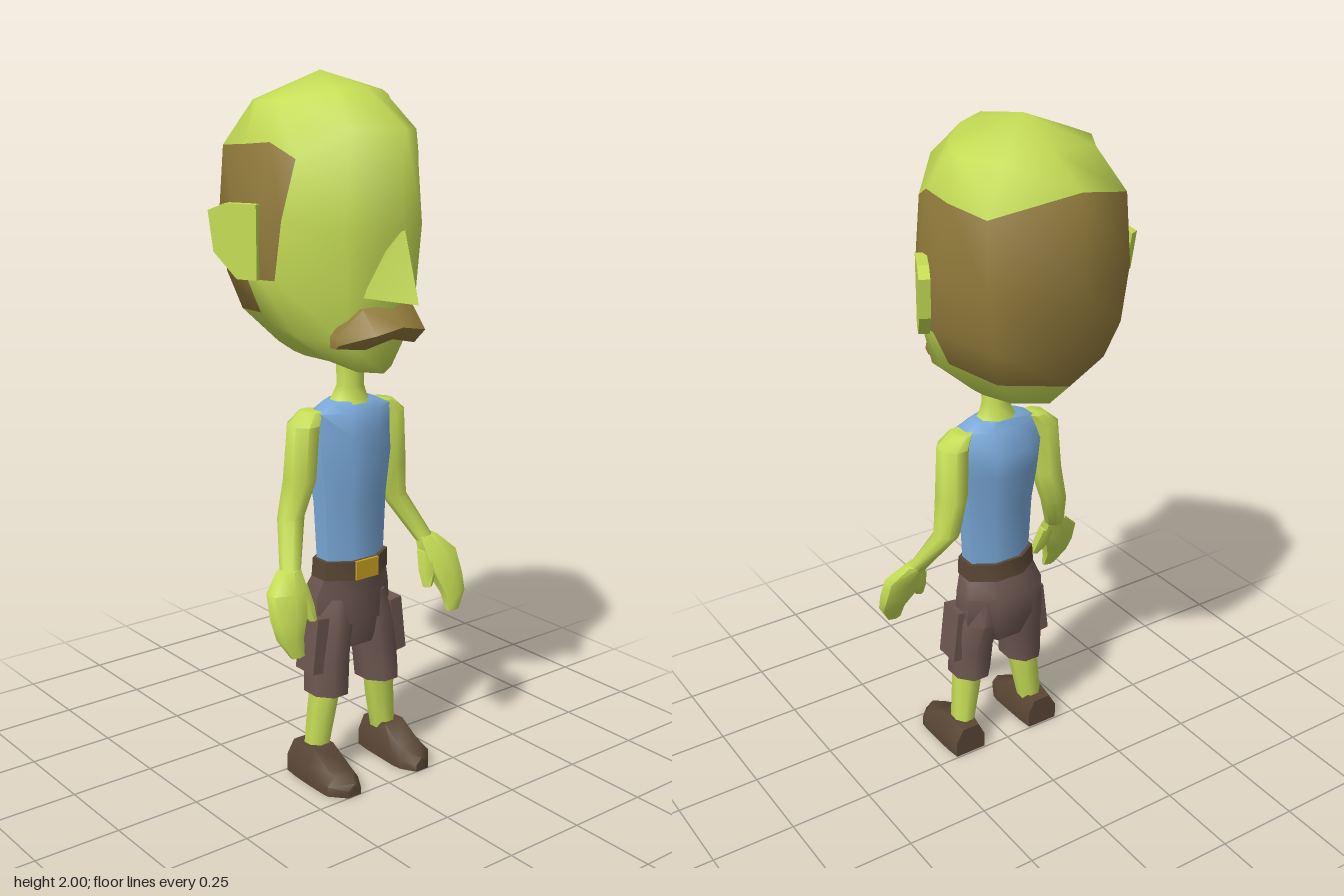
import * as THREE from 'three';
import { mergeVertices, toCreasedNormals } from 'three/addons/utils/BufferGeometryUtils.js';

const material = (name, color) => {
  const m = new THREE.MeshStandardMaterial({ color });
  m.name = name;
  return m;
};

// Skin over a stack of equal-length rings, closed at both ends; paint(row, col) picks a material slot
function loft(rings, { crease = 0.95, caps, paint = () => 0 } = {}) {
  const n = rings[0].length, last = rings.length - 1;
  const mean = r => [0, 1, 2].map(k => r.reduce((s, p) => s + p[k], 0) / n);
  const [first, end] = caps || [mean(rings[0]), mean(rings[last])];
  const pts = [...rings.flat(), first, end];
  const faces = [[], []];
  for (let j = 0; j < n; j++) {
    const k = (j + 1) % n;
    for (let i = 0; i < last; i++) {
      const a = i * n + j, b = a + n, c = i * n + k, d = c + n;
      faces[paint(i, j)].push([a, b, d], [a, d, c]);
    }
    faces[0].push([pts.length - 2, j, k], [pts.length - 1, last * n + k, last * n + j]);
  }
  // Turn the faces outward if the enclosed volume is negative
  const v = pts.map(p => new THREE.Vector3(...p));
  const volume = faces.flat().reduce((s, [a, b, c]) => s + v[a].dot(v[b].clone().cross(v[c])), 0);
  const index = faces.map(list => list.flatMap(([a, b, c]) => (volume < 0 ? [a, c, b] : [a, b, c])));
  const geo = new THREE.BufferGeometry();
  geo.setAttribute('position', new THREE.Float32BufferAttribute(pts.flat(), 3));
  geo.setIndex(index.flat());
  if (index[1].length) {
    geo.addGroup(0, index[0].length, 0);
    geo.addGroup(index[0].length, index[1].length, 1);
  }
  return toCreasedNormals(geo, crease);
}

// Body part from level oval sections [x, y, z, radiusX, radiusZ]
function limb(stations, sides = 8, options) {
  return loft(stations.map(([x, y, z, rx, rz]) => Array.from({ length: sides }, (_, j) => {
    const a = ((j + 0.5) / sides) * Math.PI * 2, k = 1 / Math.cos(Math.PI / sides);
    return [x + Math.cos(a) * rx * k, y, z + Math.sin(a) * rz * k];
  })), options);
}

function mirrored(geo) {
  const g = mergeVertices(geo);
  g.scale(-1, 1, 1);
  const ix = g.index.array;
  for (let i = 0; i < ix.length; i += 3) [ix[i + 1], ix[i + 2]] = [ix[i + 2], ix[i + 1]];
  return g;
}

export function createModel() {
  const model = new THREE.Group();
  model.name = 'cartoonMan';
  const skin = material('skin', 0xc5dc55);
  const hair = material('hair', 0x917a3b);
  const shirt = material('shirt', 0x7aa9d9);
  const trousers = material('trousers', 0x6c5650);
  const leather = material('leather', 0x5a4735);
  const brass = material('brass', 0xc8a022);

  const add = (name, geo, mat) => {
    const mesh = new THREE.Mesh(geo, mat);
    mesh.name = name;
    model.add(mesh);
  };
  const addPair = (name, geo, mat) => {
    add('left' + name, geo, mat);
    add('right' + name, mirrored(geo), mat);
  };

  // Head: half rings from front centre to back centre, top to bottom
  const crown = [[0, 1.96, .13], [.08, 1.95, .1], [.15, 1.935, .04], [.185, 1.925, -.02],
    [.2, 1.92, -.09], [.14, 1.92, -.19], [0, 1.935, -.19]];
  const hairline = [[0, 1.86, .29], [.11, 1.85, .205], [.21, 1.78, .1], [.235, 1.82, .02],
    [.237, 1.81, -.09], [.213, 1.8, -.23], [0, 1.86, -.33]];
  const brow = [[0, 1.6, .29], [.13, 1.6, .21], [.24, 1.62, .075], [.265, 1.62, .01],
    [.27, 1.62, -.09], [.22, 1.61, -.245], [0, 1.61, -.35]];
  const cheek = [[0, 1.4, .25], [.12, 1.42, .2], [.245, 1.46, .05], [.265, 1.46, 0],
    [.265, 1.46, -.05], [.2, 1.45, -.24], [0, 1.45, -.32]];
  const jaw = [[0, 1.29, .235], [.1, 1.29, .18], [.195, 1.31, .08], [.215, 1.33, 0],
    [.22, 1.36, -.05], [.17, 1.345, -.21], [0, 1.33, -.29]];
  const chin = [[0, 1.205, .21], [.06, 1.21, .17], [.1, 1.235, .08], [.11, 1.235, 0],
    [.11, 1.24, -.05], [.09, 1.25, -.15], [0, 1.245, -.2]];
  const headRings = [crown, hairline, brow, cheek, jaw, chin].map(half =>
    [...half, ...half.slice(1, 6).reverse().map(([x, y, z]) => [-x, y, z])]);
  const isHair = (row, col) => {
    const k = col < 6 ? col : 11 - col;
    return ((row === 1 || row === 2) && k >= 2) || (row === 3 && k >= 4) ? 1 : 0;
  };
  add('head', loft(headRings, { crease: Math.PI, caps: [[0, 2, -.07], [0, 1.2, .05]], paint: isHair }),
    [skin, hair]);

  // Nose wedge
  add('nose', loft([
    [[.02, 1.59, .272], [0, 1.6, .292], [-.02, 1.59, .272], [0, 1.59, .25]],
    [[.08, 1.42, .215], [0, 1.41, .35], [-.08, 1.42, .215], [0, 1.39, .2]],
  ], { crease: 0.7 }), skin);

  // Moustache: sections across x of [x, bottom, top, back, front]
  add('moustache', loft([[-.145, 1.285, 1.315, .16, .2], [-.085, 1.285, 1.39, .17, .28],
    [0, 1.305, 1.4, .18, .29], [.085, 1.285, 1.39, .17, .28], [.145, 1.285, 1.315, .16, .2]]
    .map(([x, lo, hi, back, front]) => [[x, lo, back], [x, hi, back],
      [x, hi, back + (front - back) * .5], [x, lo + (hi - lo) * .4, front], [x, lo, back + (front - back) * .6]])), hair);

  // Ears: thin plates swept back from the head
  const earShape = new THREE.Shape([[0, 1.46], [.06, 1.46], [.13, 1.53], [.145, 1.64], [.095, 1.66], [0, 1.66]]
    .map(p => new THREE.Vector2(...p)));
  const ear = new THREE.ExtrudeGeometry(earShape, { depth: .03, bevelEnabled: false });
  ear.rotateY(1.1);
  ear.translate(.25, 0, 0);
  addPair('Ear', ear, skin);

  // Neck and torso
  add('neck', limb([[0, 1.08, .065, .085, .055], [0, 1.115, .06, .05, .045], [0, 1.15, .065, .036, .038],
    [0, 1.24, .065, .038, .04]]), skin);
  add('shirt', limb([[0, .63, .067, .1, .062], [0, .82, .065, .108, .07], [0, .95, .06, .124, .085],
    [0, 1.02, .052, .126, .084], [0, 1.085, .065, .122, .062], [0, 1.11, .058, .075, .045]]), shirt);

  // Arms, hands and thumbs
  addPair('Arm', limb([[.125, 1.09, .05, .03, .035], [.152, 1.055, .05, .042, .05], [.163, .9, .045, .042, .052],
    [.187, .79, .035, .036, .038], [.247, .655, .112, .028, .025]]), skin);
  addPair('Hand', limb([[.25, .67, .11, .03, .025], [.275, .62, .135, .056, .034], [.288, .55, .16, .048, .034],
    [.298, .5, .18, .036, .024], [.285, .45, .195, .02, .01]], 6), skin);
  addPair('Thumb', limb([[.235, .63, .13, .024, .022], [.227, .57, .15, .026, .02],
    [.212, .53, .165, .012, .012]], 6), skin);

  // Belt and buckle
  add('belt', limb([[0, .6, .065, .114, .077], [0, .655, .067, .112, .073]]), leather);
  const buckle = new THREE.BoxGeometry(.08, .055, .009);
  buckle.translate(0, .628, .143);
  add('buckle', buckle, brass);

  // Shorts with side pockets
  add('shortsSeat', limb([[0, .39, .055, .09, .065], [0, .46, .05, .134, .084], [0, .55, .047, .13, .083],
    [0, .61, .065, .11, .07]]), trousers);
  addPair('ShortsLeg', limb([[.094, .26, .075, .059, .07], [.088, .36, .07, .062, .068],
    [.073, .46, .055, .066, .08], [.06, .54, .05, .055, .07]]), trousers);
  const pocket = new THREE.BoxGeometry(.04, .165, .082);
  pocket.rotateZ(.12);
  pocket.translate(.143, .415, .075);
  addPair('Pocket', pocket, trousers);

  // Shins
  addPair('Shin', limb([[.125, .08, .068, .034, .037], [.108, .2, .072, .041, .042], [.096, .3, .08, .044, .048]]), skin);

  // Shoes: sections along z of [z, inner x, outer x, height]
  addPair('Shoe', loft([[.005, .085, .185, .092], [.05, .08, .19, .1], [.112, .078, .192, .104],
    [.18, .076, .192, .062], [.205, .08, .19, .052], [.25, .105, .15, .038]]
    .map(([z, a, b, h]) => [[a, 0, z], [b, 0, z], [b, h * .55, z], [b - .025, h, z], [a + .02, h, z], [a, h * .55, z]])), leather);

  return model;
}
